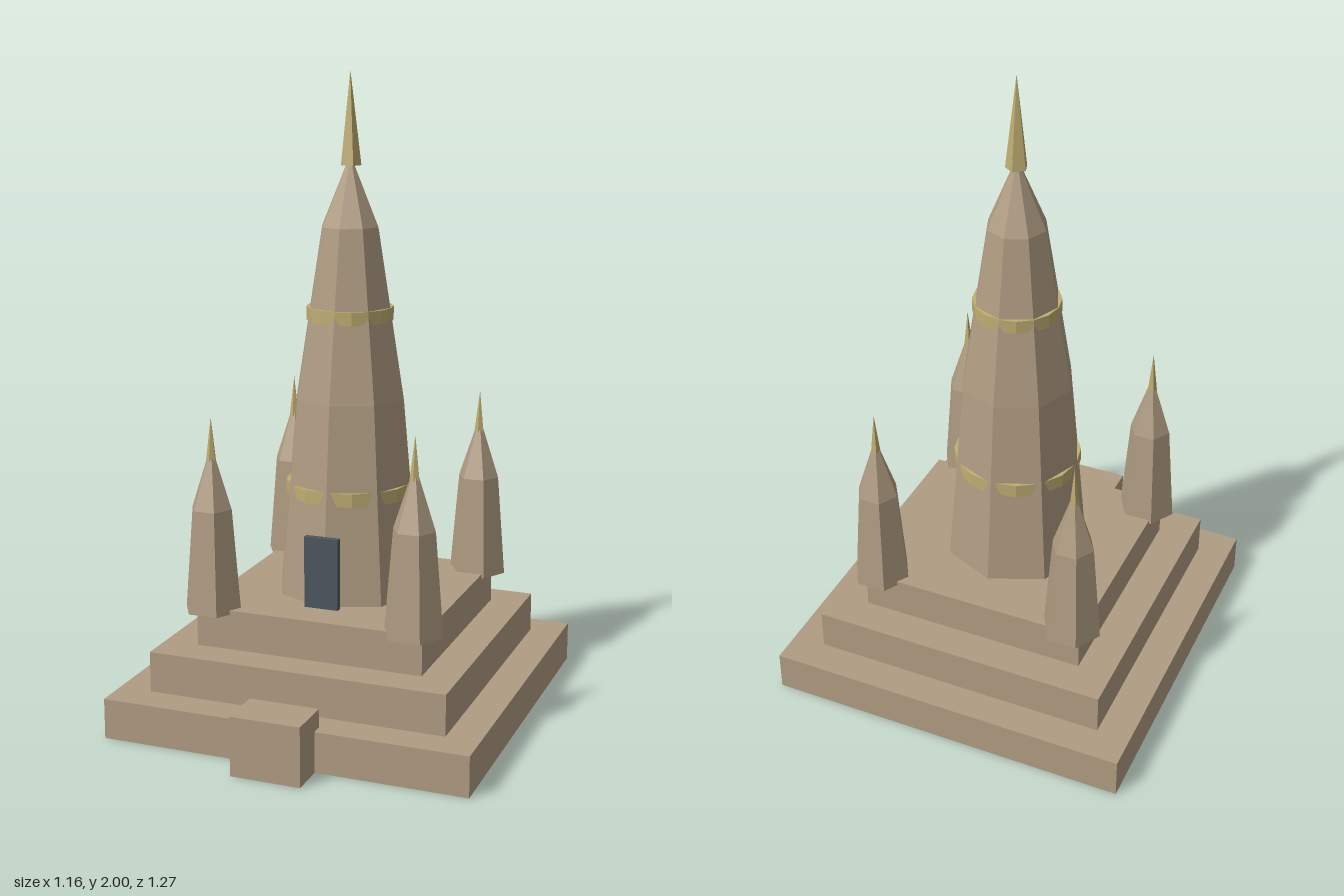
import * as THREE from 'three';

const mat = (name, color) => {
  const m = new THREE.MeshStandardMaterial({ color, flatShading: true });
  m.name = name;
  return m;
};

export function createModel() {
  const stone = mat('sandstone', 0xb09c82);
  const gold = mat('gold', 0xbfae72);
  const slate = mat('slate', 0x4c5660);

  const model = new THREE.Group();
  model.name = 'spiredTemple';
  // Everything but the entrance step is centred on this axis
  const axisZ = -0.055;

  const add = (name, geometry, material, x, y, z) => {
    const mesh = new THREE.Mesh(geometry, material);
    mesh.name = name;
    mesh.position.set(x, y, z);
    model.add(mesh);
    return mesh;
  };
  // Box standing on y
  const box = (name, w, h, d, material, x, y, z) =>
    add(name, new THREE.BoxGeometry(w, h, d), material, x, y + h / 2, z);
  // Faceted spire from [radius, height] pairs, closed at both ends
  const spire = (profile, sides) => {
    const pts = [[0, profile[0][1]], ...profile, [0, profile[profile.length - 1][1]]];
    return new THREE.LatheGeometry(pts.map(([r, y]) => new THREE.Vector2(r, y)), sides).toNonIndexed();
  };

  // Three stepped terraces
  [[1.16, 0, 0.127], [0.95, 0.127, 0.128], [0.73, 0.255, 0.125]].forEach(([size, y, h], i) =>
    box(`terrace${i + 1}`, size, h, size, stone, 0, y, axisZ));

  // Entrance step and door
  box('entranceStep', 0.22, 0.185, 0.145, stone, 0, 0, 0.5625);
  box('door', 0.11, 0.225, 0.02, slate, 0, 0.38, 0.185);

  // Main eight-sided tower, its bands and finial
  add('mainTower', spire([[0.235, 0.38], [0.178, 1.0], [0.092, 1.53], [0.012, 1.72]], 8), stone, 0, 0, axisZ);
  [[0.2, 0.713], [0.135, 1.263]].forEach(([r, y], i) =>
    add(`goldBand${i + 1}`, new THREE.CylinderGeometry(r, r, 0.042, 16), gold, 0, y, axisZ));
  const finial = add('mainFinial', new THREE.ConeGeometry(0.034, 0.285, 5), gold, 0, 1.8575, axisZ);
  finial.rotation.y = Math.PI;

  // Four six-sided corner turrets with finials
  const turretGeo = spire([[0.093, 0.367], [0.066, 0.69], [0.013, 0.85]], 6);
  const tipGeo = new THREE.ConeGeometry(0.016, 0.135, 5);
  for (const sx of [-1, 1]) {
    for (const sz of [-1, 1]) {
      const x = sx * 0.326, z = axisZ + sz * 0.328;
      add('cornerTurret', turretGeo, stone, x, 0, z).rotation.y = Math.PI / 6;
      add('turretFinial', tipGeo, gold, x, 0.9075, z);
    }
  }
  return model;
}
